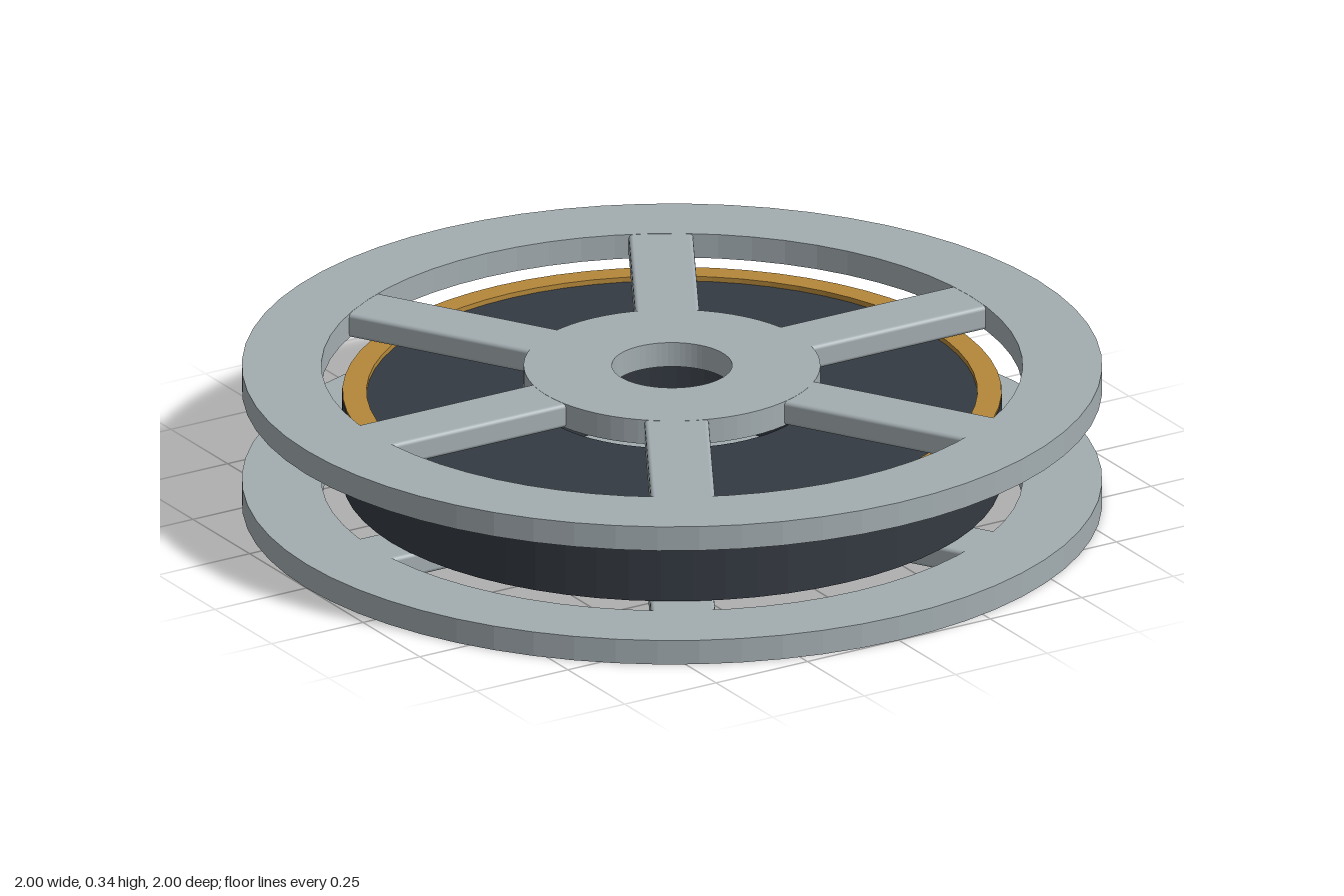
import * as THREE from 'three';
import { RoundedBoxGeometry } from 'three/addons/geometries/RoundedBoxGeometry.js';

// Flat ring lying on y = 0 with faceted walls
function ringGeometry(outer, inner, height) {
  const shape = new THREE.Shape();
  shape.absarc(0, 0, outer, 0, Math.PI * 2, false);
  const hole = new THREE.Path();
  hole.absarc(0, 0, inner, 0, Math.PI * 2, true);
  shape.holes.push(hole);
  const geo = new THREE.ExtrudeGeometry(shape, { depth: height, bevelEnabled: false, curveSegments: 32 });
  return geo.rotateX(-Math.PI / 2);
}

function addMesh(parent, name, geometry, material, y = 0) {
  const mesh = new THREE.Mesh(geometry, material);
  mesh.name = name;
  mesh.position.y = y;
  parent.add(mesh);
  return mesh;
}

export function createModel() {
  const metal = new THREE.MeshStandardMaterial({ name: 'grey metal', color: 0xa3adb1 });
  const dark = new THREE.MeshStandardMaterial({ name: 'dark film', color: 0x343a42 });
  const gold = new THREE.MeshStandardMaterial({ name: 'gold', color: 0xb5883a });

  const reel = new THREE.Group();
  reel.name = 'reel';

  // Two identical spoked side plates
  const thick = 0.06;
  const rimGeo = ringGeometry(1, 0.815, thick);
  const hubGeo = ringGeometry(0.345, 0.14, thick);
  const spokeGeo = new RoundedBoxGeometry(0.56, thick - 0.001, 0.15, 2, 0.01);
  spokeGeo.translate(0.58, thick / 2, 0);
  for (const [name, y] of [['lowerFlange', 0], ['upperFlange', 0.285]]) {
    const flange = new THREE.Group();
    flange.name = name;
    flange.position.y = y;
    addMesh(flange, 'rim', rimGeo, metal);
    addMesh(flange, 'hub', hubGeo, metal);
    for (let i = 0; i < 6; i++) {
      addMesh(flange, 'spoke', spokeGeo, metal).rotation.y = (i * Math.PI) / 3;
    }
    reel.add(flange);
  }

  // Wound film between the plates, with a raised gold edge band on top
  addMesh(reel, 'filmPack', ringGeometry(0.767, 0.325, 0.205), dark, 0.064);
  addMesh(reel, 'edgeWall', ringGeometry(0.767, 0.712, 0.007), dark, 0.269);
  addMesh(reel, 'edgeBand', ringGeometry(0.766, 0.71, 0.012), gold, 0.269);

  return reel;
}
